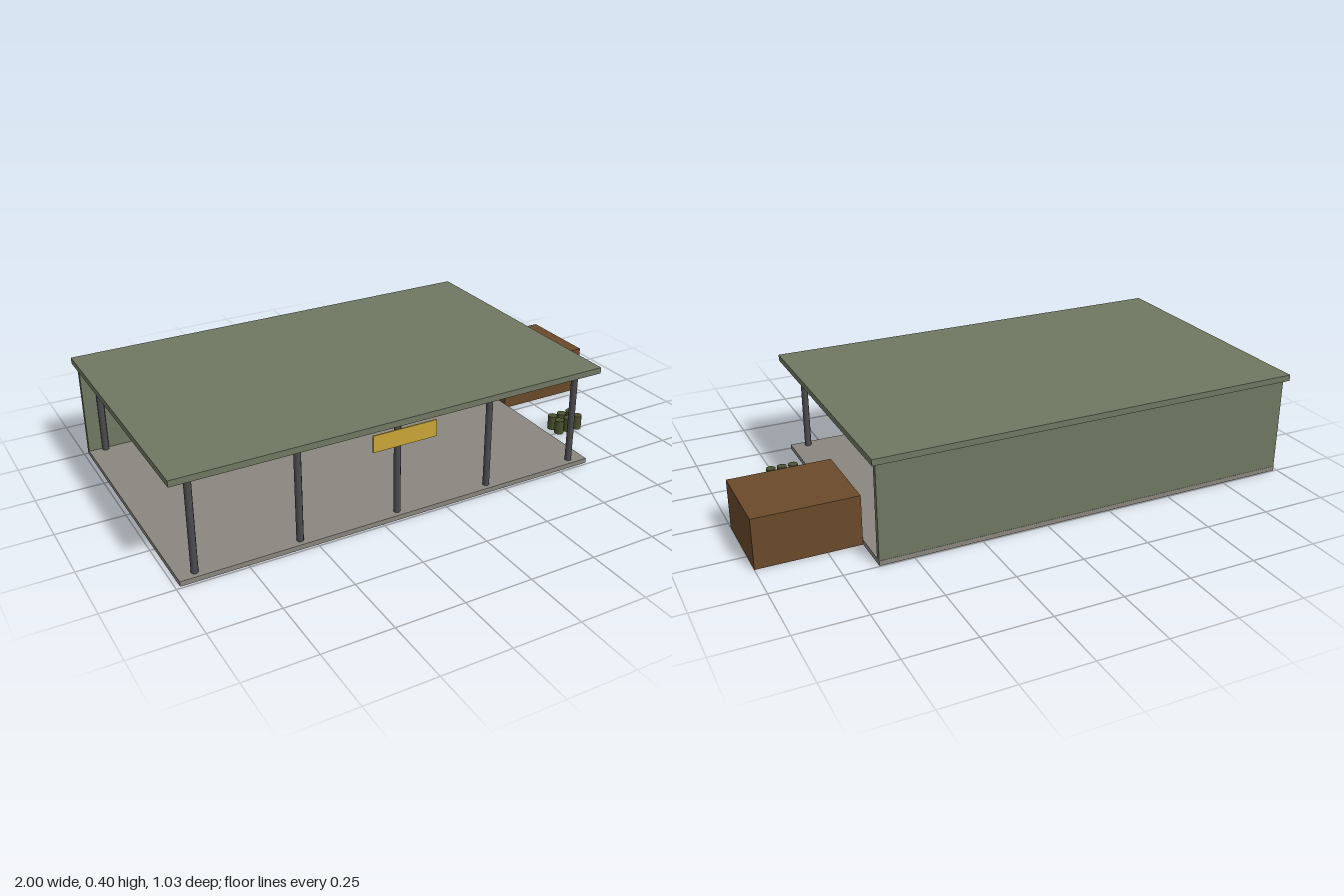
import * as THREE from 'three';

const paint = (name, color) => {
  const m = new THREE.MeshStandardMaterial({ color });
  m.name = name;
  return m;
};

export function createModel() {
  const olive = paint('olive panel', 0x6f7862);
  const concrete = paint('concrete', 0x8a867f);
  const steel = paint('dark steel', 0x4c4c50);
  const wood = paint('brown wood', 0x6b4a2b);
  const yellow = paint('yellow sign', 0xc9a637);
  const drumGreen = paint('drum green', 0x4a5230);

  const model = new THREE.Group();
  model.name = 'openShed';

  // Box given by its extents along each axis
  const box = (name, material, [x0, x1], [y0, y1], [z0, z1], parent = model) => {
    const mesh = new THREE.Mesh(new THREE.BoxGeometry(x1 - x0, y1 - y0, z1 - z0), material);
    mesh.position.set((x0 + x1) / 2, (y0 + y1) / 2, (z0 + z1) / 2);
    mesh.name = name;
    parent.add(mesh);
  };

  // Floor slab, back wall and flat overhanging roof
  box('floorSlab', concrete, [-0.985, 0.625], [0.001, 0.019], [-0.498, 0.492]);
  box('backWall', olive, [-0.985, 0.625], [0.019, 0.375], [-0.497, -0.477]);
  box('roof', olive, [-1, 0.641], [0.375, 0.398], [-0.514, 0.51]);

  // Two rows of five posts
  const posts = new THREE.Group();
  posts.name = 'posts';
  const postGeometry = new THREE.CylinderGeometry(0.0125, 0.0125, 0.376, 10);
  for (const z of [0.463, -0.467]) {
    for (let i = 0; i < 5; i++) {
      const post = new THREE.Mesh(postGeometry, steel);
      post.name = 'post';
      post.position.set(-0.924 + i * 0.3715, 0.188, z);
      posts.add(post);
    }
  }
  model.add(posts);

  // Sign plate hanging at the front edge of the roof
  box('signPlate', yellow, [-0.303, -0.059], [0.305, 0.367], [0.51, 0.515]);

  // Large crate against the left side
  box('crate', wood, [0.625, 1], [0, 0.187], [-0.343, -0.034]);

  // Cluster of six drums
  const drums = new THREE.Group();
  drums.name = 'drums';
  const drumGeometry = new THREE.CylinderGeometry(0.0185, 0.0185, 0.056, 12);
  for (const x of [0.688, 0.731, 0.774]) {
    for (const z of [0.203, 0.247]) {
      const drum = new THREE.Mesh(drumGeometry, drumGreen);
      drum.name = 'drum';
      drum.position.set(x, 0.028, z);
      drums.add(drum);
    }
  }
  model.add(drums);

  return model;
}
